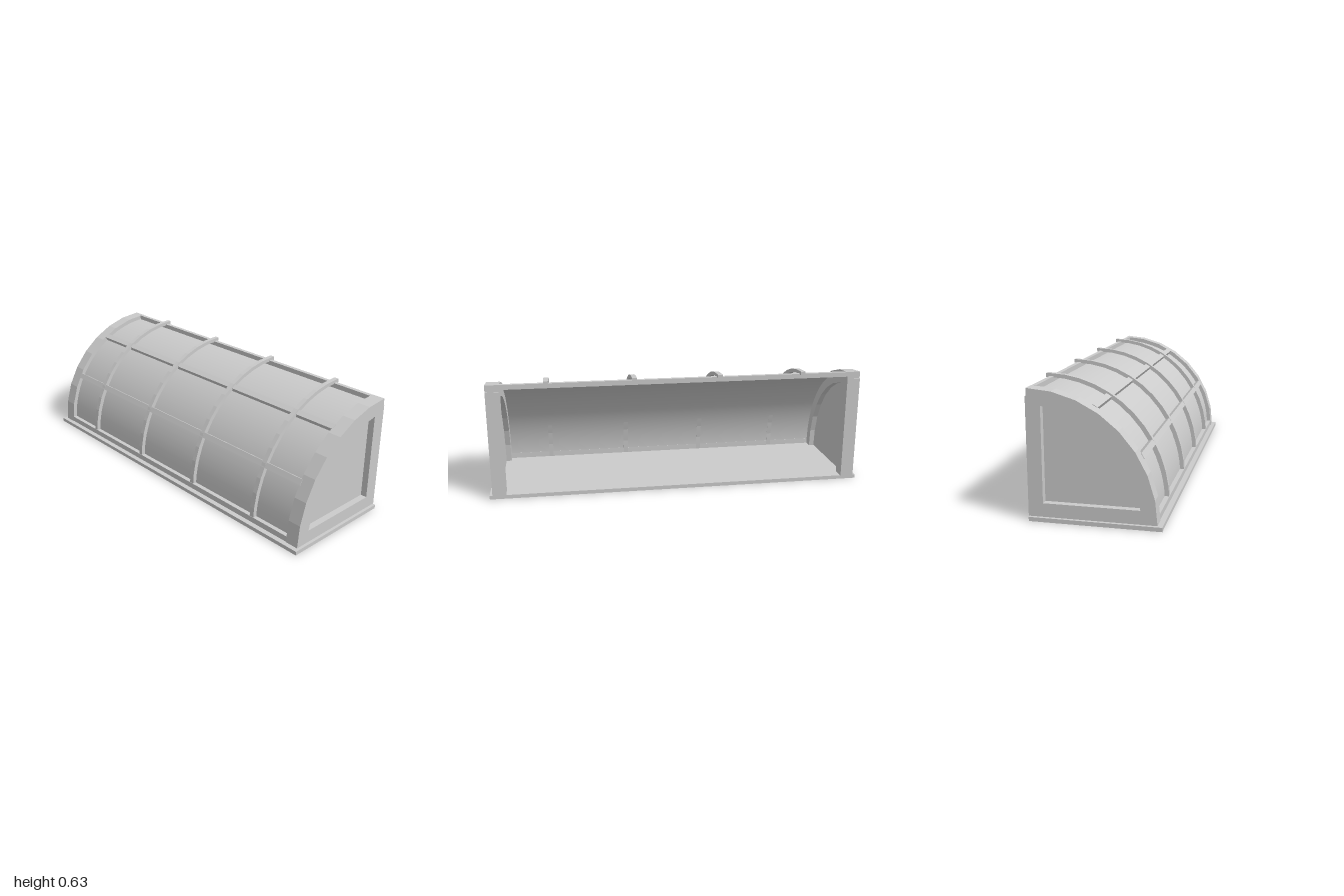
import * as THREE from 'three';

const CY = 0.02, CZ = -0.3; // centre of the quarter circle
const R = 0.593, GLASS_R = 0.568;

const mat = new THREE.MeshStandardMaterial({ color: 0xcccccc, flatShading: true });
const thin = new THREE.MeshStandardMaterial({ color: 0xcccccc, side: THREE.DoubleSide });

function add(parent, name, geometry, material = mat) {
  const m = new THREE.Mesh(geometry, material);
  m.name = name;
  parent.add(m);
  return m;
}

function box(parent, name, x0, x1, y0, y1, z0, z1) {
  const m = add(parent, name, new THREE.BoxGeometry(x1 - x0, y1 - y0, z1 - z0));
  m.position.set((x0 + x1) / 2, (y0 + y1) / 2, (z0 + z1) / 2);
  return m;
}

// Points of an elliptical arc in the (z, y) plane
function arc(rz, ry, a0, a1, n) {
  const pts = [];
  for (let i = 0; i <= n; i++) {
    const a = a0 + (a1 - a0) * i / n;
    pts.push(new THREE.Vector2(CZ + rz * Math.cos(a), CY + ry * Math.sin(a)));
  }
  return pts;
}

// Extrude a (z, y) outline along x between x0 and x1
function extrudeX(outline, x0, x1, hole) {
  const shape = new THREE.Shape(outline);
  if (hole) shape.holes.push(new THREE.Path(hole));
  const g = new THREE.ExtrudeGeometry(shape, { depth: x1 - x0, bevelEnabled: false });
  return g.rotateY(-Math.PI / 2).translate(x1, 0, 0);
}

const QUARTER = Math.PI / 2;

function endWall(side) {
  const wall = new THREE.Group();
  wall.name = side > 0 ? 'leftEndWall' : 'rightEndWall';
  const span = (a, b) => side > 0 ? [a, b] : [-b, -a];

  // Outer face frame with a quarter-round window
  const a = Math.asin(0.065 / 0.52);
  const outline = [new THREE.Vector2(CZ, CY), ...arc(R, R, 0, QUARTER, 8)];
  const window_ = [new THREE.Vector2(-0.235, 0.085), ...arc(0.52, 0.52, a, QUARTER - a, 8)];
  add(wall, 'windowFrame', extrudeX(outline, ...span(0.95, 0.985), window_));

  // Inner half of the arch, and the back post
  const arch = [...arc(R, R, 0, QUARTER, 8), ...arc(0.52, 0.52, QUARTER, 0, 8)];
  add(wall, 'arch', extrudeX(arch, ...span(0.915, 0.95)));
  box(wall, 'backPost', ...span(0.915, 0.985), CY, 0.577, -0.305, -0.235);

  // Recessed pane
  const pane = [new THREE.Vector2(-0.29, CY), ...arc(0.54, 0.54, 0, QUARTER - 0.02, 8)];
  add(wall, 'endPane', extrudeX(pane, ...span(0.944, 0.952)));
  return wall;
}

export function createModel() {
  const model = new THREE.Group();
  model.name = 'barrelCanopy';

  box(model, 'basePlate', -1, 1, 0, 0.02, -0.3, 0.317);
  model.add(endWall(1), endWall(-1));

  // Curved front glazing
  const glass = new THREE.CylinderGeometry(GLASS_R, GLASS_R, 1.84, 24, 1, true, 0, QUARTER);
  glass.rotateZ(QUARTER).translate(0, CY, CZ);
  add(model, 'curvedGlazing', glass, thin);

  // Long rails: two tilted to the curve, one at the sill, one at the ridge
  const mid = (R + GLASS_R) / 2;
  for (const a of [Math.PI / 6, Math.PI / 3]) {
    const rail = add(model, 'longRail', new THREE.BoxGeometry(1.84, 0.03, R - GLASS_R));
    rail.position.set(0, CY + mid * Math.sin(a), CZ + mid * Math.cos(a));
    rail.rotation.x = -a;
  }
  box(model, 'sillRail', -0.92, 0.92, CY, 0.05, 0.266, 0.29);
  box(model, 'ridgeRail', -0.92, 0.92, 0.587, 0.612, -0.3, -0.278);

  // Curved ribs, each with a short tail past the ridge
  const tail = [new THREE.Vector2(-0.315, 0.627), new THREE.Vector2(-0.315, 0.608)];
  const rib = [
    ...arc(0.59, 0.607, 0, QUARTER, 12), ...tail,
    ...arc(0.566, 0.588, QUARTER, 0, 12),
  ];
  for (const x of [-0.662, -0.214, 0.234, 0.682]) {
    add(model, 'rib', extrudeX(rib, x - 0.0125, x + 0.0125));
  }
  return model;
}
